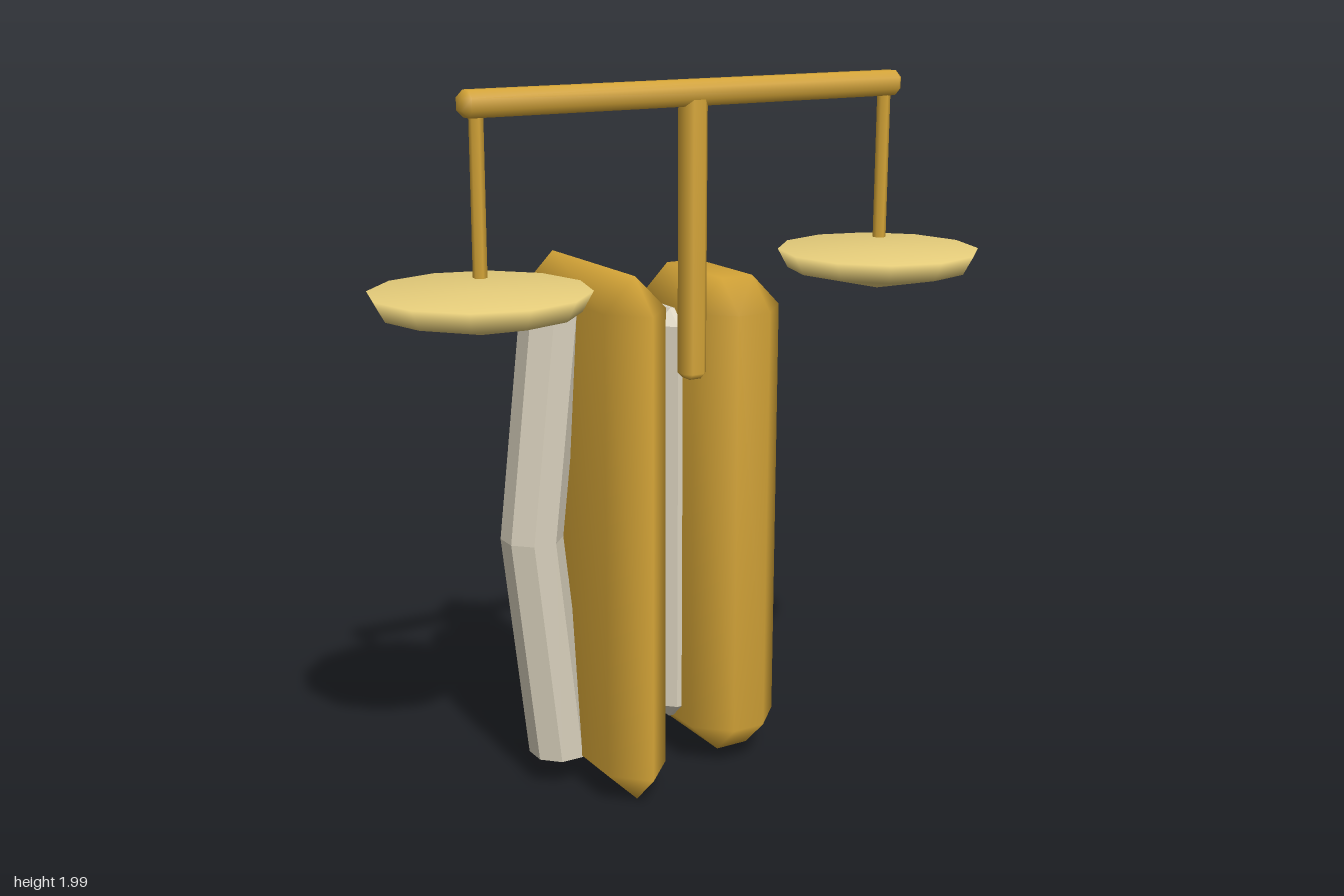
import * as THREE from 'three';
import { mergeVertices } from 'three/addons/utils/BufferGeometryUtils.js';
import { ConvexGeometry } from 'three/addons/geometries/ConvexGeometry.js';

const gold = new THREE.MeshStandardMaterial({ color: 0xd4a437 });
const paleGold = new THREE.MeshStandardMaterial({ color: 0xe8cf7c });
const bone = new THREE.MeshStandardMaterial({ color: 0xd8d0bc, flatShading: true });

// Box with every edge cut by c, softly shaded
function chamferBox(w, h, d, c) {
  const half = [w / 2, h / 2, d / 2];
  const points = [];
  for (let axis = 0; axis < 3; axis++)
    for (const sx of [-1, 1]) for (const sy of [-1, 1]) for (const sz of [-1, 1]) {
      const p = half.map((v, i) => (i === axis ? v : v - c));
      points.push(new THREE.Vector3(p[0] * sx, p[1] * sy, p[2] * sz));
    }
  const hull = new ConvexGeometry(points);
  hull.deleteAttribute('normal');
  const g = mergeVertices(hull, 1e-4);
  g.computeVertexNormals();
  return g;
}

export function createModel() {
  const model = new THREE.Group();
  const add = (name, geometry, material, x, y, z) => {
    const mesh = new THREE.Mesh(geometry, material);
    mesh.name = name;
    mesh.position.set(x, y, z);
    model.add(mesh);
    return mesh;
  };
  const zMid = -0.118;
  const zScale = 0.165;

  // Two tall cover slabs and the spine rail between them
  add('ridgedCover', chamferBox(0.185, 1.49, 0.65, 0.0925), gold, -0.1425, 0.755, zMid);
  add('thickCover', chamferBox(0.28, 1.4, 0.47, 0.09), gold, 0.23, 0.75, zMid);
  add('spineRail', chamferBox(0.18, 1.22, 0.185, 0.045), bone, 0.12, 0.75, zMid - 0.002);

  // Column of binding rings
  const ringGeometry = new THREE.TorusGeometry(0.12, 0.032, 6, 14);
  ringGeometry.scale(1, 1, 1.4);
  for (let i = 0; i < 4; i++) add('bindingRing', ringGeometry, bone, -0.09, 0.33 + i * 0.282, zMid);

  // Eight-sided handle, bowed outwards at mid height
  const handle = new THREE.CylinderGeometry(0.0866, 0.0866, 1.31, 8, 2);
  handle.rotateY(Math.PI / 8);
  const pos = handle.attributes.position;
  for (let i = 0; i < pos.count; i++)
    pos.setX(i, pos.getX(i) - 0.075 * (1 - Math.abs(pos.getY(i)) / 0.655));
  handle.computeVertexNormals();
  add('bowedHandle', handle, bone, -0.265, 0.752, zMid);

  // Small studs on the outer face
  const stud = new THREE.CylinderGeometry(0.007, 0.016, 0.075, 6);
  stud.rotateZ(-Math.PI / 2);
  for (const y of [0.33, 0.75, 1.17]) add('stud', stud, gold, 0.378, y, zMid + 0.003);

  // Balance post and beam
  add('post', chamferBox(0.066, 0.75, 0.068, 0.016), gold, 0, 1.597, zScale);
  add('beam', chamferBox(1.3, 0.066, 0.07, 0.018), gold, 0, 1.967, zScale);

  // Hangers and faceted pans, mirrored
  const hanger = new THREE.CylinderGeometry(0.018, 0.018, 0.4, 6);
  const pan = new THREE.LatheGeometry([
    new THREE.Vector2(0, -0.11),
    new THREE.Vector2(0.25, -0.052),
    new THREE.Vector2(0.278, 0),
    new THREE.Vector2(0, 0),
  ], 12);
  for (const side of [-1, 1]) {
    add('hanger', hanger, gold, side * 0.607, 1.748, zScale);
    add('pan', pan, paleGold, side * 0.607, 1.515, zScale - 0.003);
  }
  return model;
}
